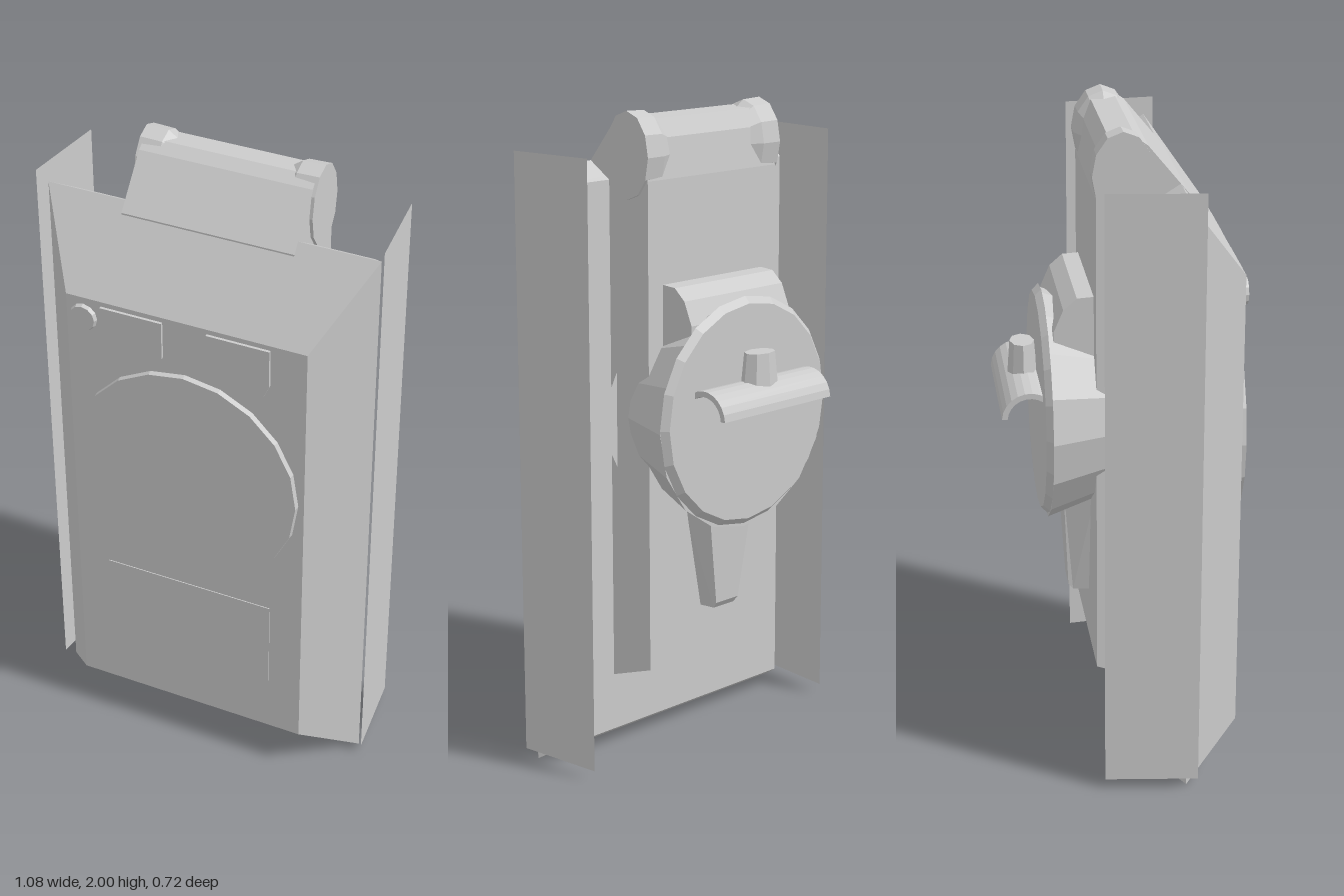
import * as THREE from 'three';

const grey = new THREE.MeshStandardMaterial({ color: 0xcccccc, flatShading: true, side: THREE.DoubleSide });

function add(parent, name, geometry, x = 0, y = 0, z = 0) {
  const mesh = new THREE.Mesh(geometry, grey);
  mesh.name = name;
  mesh.position.set(x, y, z);
  parent.add(mesh);
  return mesh;
}

// Solid through rectangles [z, halfWidth, bottom, top], ordered front to back
function loft(sections) {
  const pos = [], index = [];
  for (const [z, w, b, t] of sections) pos.push(-w, b, z, w, b, z, w, t, z, -w, t, z);
  for (let s = 0; s < sections.length - 1; s++) {
    for (let i = 0; i < 4; i++) {
      const a = s * 4 + i, b = s * 4 + (i + 1) % 4;
      index.push(a, a + 4, b, b, a + 4, b + 4);
    }
  }
  const e = (sections.length - 1) * 4;
  index.push(0, 1, 2, 0, 2, 3, e, e + 2, e + 1, e, e + 3, e + 2);
  const g = new THREE.BufferGeometry();
  g.setAttribute('position', new THREE.Float32BufferAttribute(pos, 3));
  g.setIndex(index);
  const flat = g.toNonIndexed();
  flat.computeVertexNormals();
  return flat;
}

function extrude(points, depth) {
  const shape = new THREE.Shape(points.map(([a, b]) => new THREE.Vector2(a, b)));
  return new THREE.ExtrudeGeometry(shape, { depth, bevelEnabled: false });
}

// Side profile of [z, y] points, extruded across x and centred
function sideProfile(points, width) {
  return extrude(points.map(([z, y]) => [-z, y]), width)
    .translate(0, 0, -width / 2).rotateY(Math.PI / 2);
}

// Disc or cone with its axis along z
function disc(rFront, rBack, depth, sides) {
  return new THREE.CylinderGeometry(rFront, rBack, depth, sides).rotateX(Math.PI / 2);
}

export function createModel() {
  const model = new THREE.Group();
  model.name = 'device';

  // Bevelled front housing
  add(model, 'frontShell', loft([
    [0.34, 0.38, 0.14, 1.595], [0.165, 0.52, 0, 1.84], [0.085, 0.47, 0.05, 1.79],
  ]));

  // Details on the front face
  add(model, 'frontDisc', disc(0.36, 0.363, 0.025, 20), 0, 1.056, 0.345);
  add(model, 'smallDial', disc(0.04, 0.045, 0.015, 12), -0.325, 1.53, 0.345);
  add(model, 'lowerPanel', new THREE.BoxGeometry(0.55, 0.3, 0.01), 0, 0.48, 0.338);
  const pad = [[0.07, 1.58], [0.07, 1.46], [0.125, 1.43], [0.25, 1.42], [0.268, 1.46], [0.268, 1.58]];
  for (const s of [-1, 1]) {
    add(model, 'frontPad', extrude(pad.map(([x, y]) => [x * s, y]), 0.012), 0, 0, 0.337);
  }

  // Thin side panels, slightly closer together at the back
  for (const s of [-1, 1]) {
    const panel = add(model, 'sidePanel', new THREE.PlaneGeometry(0.284, 1.86), s * 0.525, 0.96, 0.057);
    panel.rotation.y = s * (Math.PI / 2 + 0.106);
  }

  // Rear body with its arched top strap
  add(model, 'rearBody', sideProfile([
    [-0.08, 0.29], [-0.08, 1.8], [-0.065, 1.92], [-0.04, 1.975], [0.035, 1.98],
    [0.07, 1.955], [0.19, 1.81], [0.19, 1.7], [0.12, 1.6], [0.12, 0.22],
  ], 0.54));

  // Flared elliptical lobes at both ends of the strap
  for (const s of [-1, 1]) {
    const lobe = new THREE.Group();
    lobe.name = 'topLobe';
    add(lobe, 'lobeEnd', new THREE.CylinderGeometry(1, 0.98, 0.07, 12).scale(0.09, 1, 0.13), 0, 0.245);
    add(lobe, 'lobeNeck', new THREE.CylinderGeometry(0.98, 0.6, 0.07, 12).scale(0.09, 1, 0.13), 0, 0.175);
    lobe.rotation.set(0, Math.PI / 2, s * Math.PI / 2, 'ZYX');
    lobe.position.set(0, 1.87, 0);
    // y axis of the lobe turns to ±x and its long axis stays upright
    lobe.rotation.set(0, 0, 0);
    for (const part of lobe.children) {
      part.geometry.rotateY(Math.PI / 2).rotateZ(-s * Math.PI / 2);
      part.position.set(s * part.position.y, 0, 0);
    }
    lobe.position.z = -0.002;
    model.add(lobe);
  }

  // Inner ring that shows at the sides of the body
  add(model, 'innerRing', disc(0.28, 0.312, 0.03, 20), 0, 1.06, 0.075);

  // Rear drum, widening to the back, with a cover plate
  add(model, 'drum', disc(0.28, 0.355, 0.215, 16), 0, 1.08, -0.1075);
  add(model, 'coverPlate', disc(0.355, 0.335, 0.02, 20), 0, 1.09, -0.225);

  // Block on top of the drum
  add(model, 'drumBlock', sideProfile([
    [-0.05, 1.25], [-0.05, 1.49], [-0.13, 1.485], [-0.17, 1.45], [-0.2, 1.38], [-0.2, 1.25],
  ], 0.42));

  // Tapered lug below the drum
  const lug = sideProfile([[-0.06, 0.45], [-0.06, 0.85], [-0.165, 0.85], [-0.145, 0.47], [-0.13, 0.45]], 0.26);
  const p = lug.attributes.position;
  for (let i = 0; i < p.count; i++) {
    const k = 0.42 + 0.58 * Math.min(1, (p.getY(i) - 0.45) / 0.3);
    const back = p.getZ(i) < -0.1 ? 0.8 : 1;
    p.setX(i, p.getX(i) * k * back);
  }
  lug.computeVertexNormals();
  add(model, 'lug', lug);

  // Curved handle bar and its post
  const arc = [];
  for (const [r, from, to] of [[0.085, 0, 1], [0.068, 1, 0]]) {
    for (let i = 0; i <= 8; i++) {
      const a = (0.02 + 0.68 * (from + (to - from) * i / 8)) * Math.PI;
      arc.push([-0.273 - r * Math.cos(a), 1.115 + r * Math.sin(a)]);
    }
  }
  add(model, 'handleBar', sideProfile(arc, 0.46));
  add(model, 'handlePost', new THREE.CylinderGeometry(0.05, 0.06, 0.1, 8).scale(1.1, 1, 0.75), 0, 1.235, -0.277);

  return model;
}
